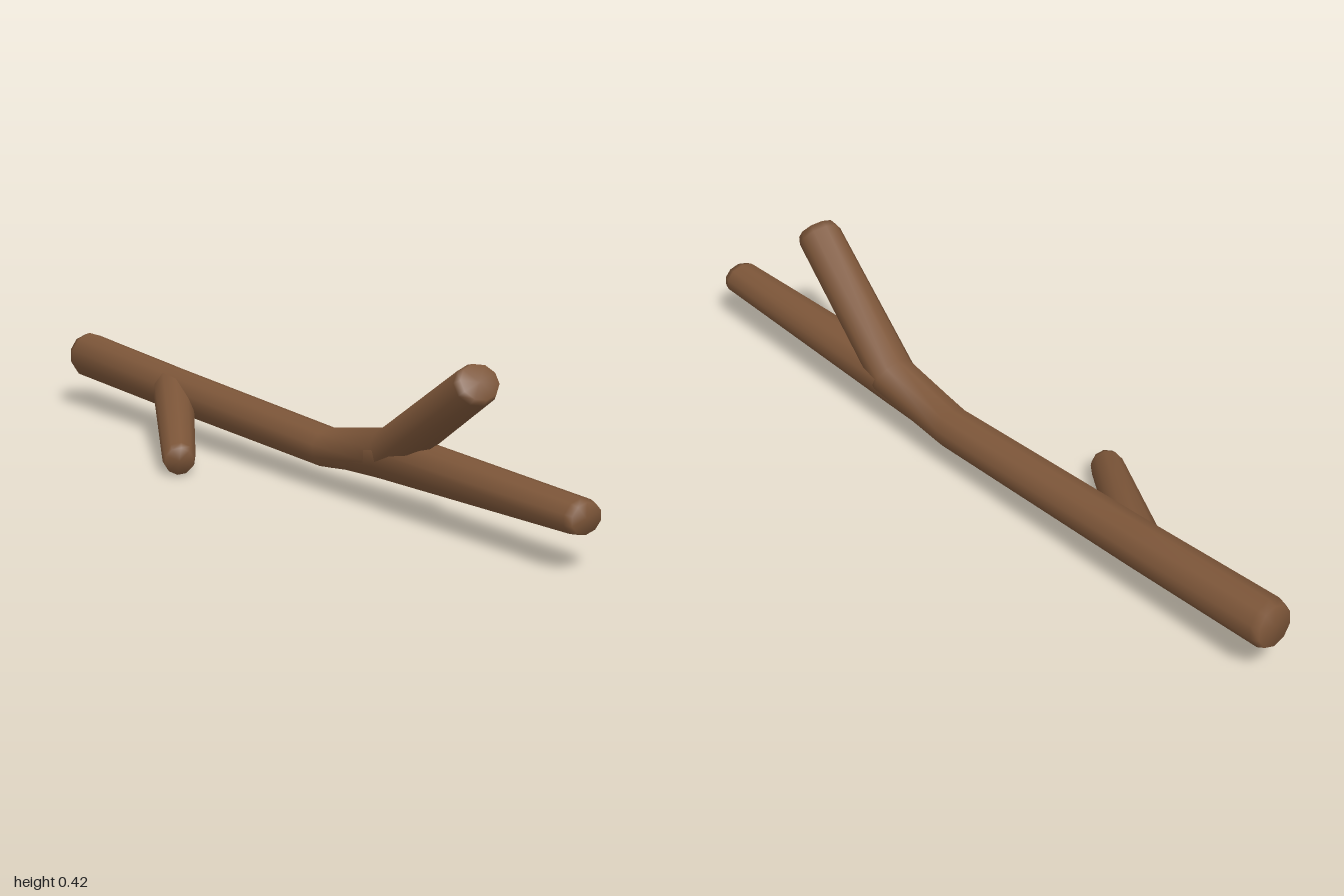
import * as THREE from 'three';
import { mergeVertices } from 'three/addons/utils/BufferGeometryUtils.js';

const SIDES = 10;
const bark = new THREE.MeshStandardMaterial({ color: 0x7d5639, roughness: 1 });

// Skin a limb through stations [x, y, z, radius up, radius across]
function limb(name, stations) {
  const pts = stations.map(s => new THREE.Vector3(s[0], s[1], s[2]));
  const last = pts.length - 1;
  const rings = [];
  const addRing = (centre, tangent, ru, rs) => {
    const side = new THREE.Vector3(0, 0, 1).addScaledVector(tangent, -tangent.z).normalize();
    const up = side.clone().cross(tangent);
    const ring = [];
    for (let j = 0; j < SIDES; j++) {
      const a = j / SIDES * Math.PI * 2;
      ring.push(centre.clone().addScaledVector(up, Math.cos(a) * ru).addScaledVector(side, Math.sin(a) * rs));
    }
    rings.push(ring);
  };
  pts.forEach((p, i) => {
    const before = p.clone().sub(pts[Math.max(i - 1, 0)]).normalize();
    const after = pts[Math.min(i + 1, last)].clone().sub(p).normalize();
    const t = before.add(after).normalize();
    const [, , , ru, rs] = stations[i];
    const inset = p.clone().addScaledVector(t, i === 0 ? 0.02 : -0.02);
    // ends get a small bevel
    if (i === 0) addRing(p, t, ru * 0.87, rs * 0.87);
    addRing(i === 0 || i === last ? inset : p, t, ru, rs);
    if (i === last) addRing(p, t, ru * 0.87, rs * 0.87);
  });

  const pos = [];
  const tri = (...v) => v.forEach(p => pos.push(p.x, p.y, p.z));
  for (let i = 0; i < rings.length - 1; i++) {
    for (let j = 0; j < SIDES; j++) {
      const k = (j + 1) % SIDES;
      const a = rings[i][j], b = rings[i][k], c = rings[i + 1][k], d = rings[i + 1][j];
      tri(a, b, c);
      tri(a, c, d);
    }
  }
  // end caps
  const first = rings[0], end = rings[rings.length - 1];
  for (let j = 0; j < SIDES; j++) {
    const k = (j + 1) % SIDES;
    tri(pts[0], first[k], first[j]);
    tri(pts[last], end[j], end[k]);
  }
  let geo = new THREE.BufferGeometry();
  geo.setAttribute('position', new THREE.Float32BufferAttribute(pos, 3));
  geo = mergeVertices(geo);
  geo.computeVertexNormals();
  const mesh = new THREE.Mesh(geo, bark);
  mesh.name = name;
  return mesh;
}

export function createModel() {
  const group = new THREE.Group();
  group.name = 'branch';
  group.add(
    // main stem, bending up into the raised fork
    limb('mainStem', [
      [-1, 0.148, -0.107, 0.062, 0.058],
      [-0.57, 0.128, -0.107, 0.057, 0.058],
      [0.1, 0.103, -0.106, 0.05, 0.056],
      [0.33, 0.14, -0.107, 0.06, 0.06],
      [0.7, 0.386, -0.056, 0.051, 0.058],
    ]),
    // straight fork continuing to the left end
    limb('straightFork', [
      [0.1, 0.103, -0.106, 0.045, 0.05],
      [0.33, 0.133, -0.106, 0.063, 0.06],
      [1, 0.131, -0.104, 0.042, 0.052],
    ]),
    // side twig reaching forward and down
    limb('sideTwig', [
      [-0.75, 0.136, -0.107, 0.05, 0.05],
      [-0.57, 0.128, -0.107, 0.057, 0.057],
      [-0.2, 0.043, 0.134, 0.043, 0.042],
    ]),
  );
  return group;
}
